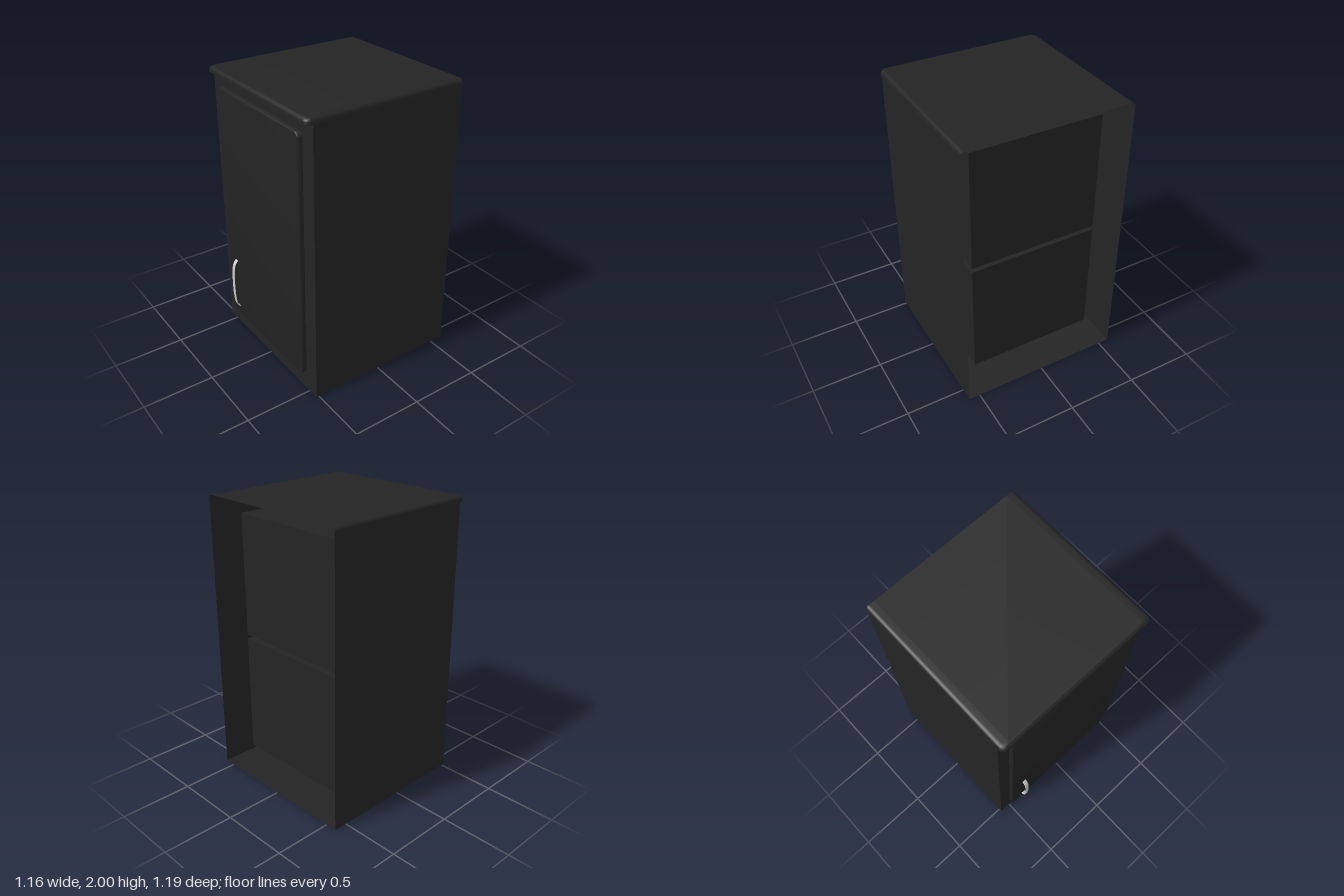
import * as THREE from 'three';
import { toCreasedNormals } from 'three/addons/utils/BufferGeometryUtils.js';

const W = 0.58, BACK = -0.595, FRONT = 0.52, LIP = 0.567, CAP_Y = 1.96;

const dark = new THREE.MeshStandardMaterial({ color: 0x242424, side: THREE.DoubleSide });
const metal = new THREE.MeshStandardMaterial({ color: 0xcccccc });

function add(group, name, geometry, material = dark) {
  const mesh = new THREE.Mesh(geometry, material);
  mesh.name = name;
  group.add(mesh);
  return mesh;
}

// Thin cabinet shell, open at the back and under the worktop
function shellGeometry() {
  const geo = new THREE.BoxGeometry(2 * W, CAP_Y, FRONT - BACK);
  const idx = Array.from(geo.index.array);
  geo.setIndex([...idx.slice(0, 12), ...idx.slice(18, 30)]);
  geo.clearGroups();
  return geo.translate(0, CAP_Y / 2, (FRONT + BACK) / 2);
}

// U-shaped worktop outline: back right, round the front, back left
function outline(inset) {
  const r = 0.035, w = W - inset, f = LIP - inset, n = 6;
  const pts = [[w, BACK]];
  for (const side of [1, -1]) {
    for (let i = 0; i <= n; i++) {
      const a = (side > 0 ? i : n - i) / n * Math.PI / 2;
      pts.push([side * (w - r + r * Math.cos(a)), f - r + r * Math.sin(a)]);
    }
  }
  pts.push([-w, BACK]);
  return pts;
}

// Worktop lofted from the lip underside, up the rounded edge, to the back line
function worktopGeometry() {
  const rings = [];
  const ring = (inset, y, rule = z => z) =>
    rings.push(outline(inset).map(([x, z]) => [x, y, rule(z)]));
  ring(0, CAP_Y, z => Math.min(z, FRONT));
  ring(0, CAP_Y);
  const r = 0.028;
  for (let i = 0; i <= 6; i++) {
    const a = i / 6 * Math.PI / 2;
    ring(r * (1 - Math.cos(a)), 2 - r + r * Math.sin(a));
  }
  ring(r, 2, () => BACK);

  const n = rings[0].length, index = [];
  for (let j = 0; j < rings.length - 1; j++) {
    for (let i = 0; i < n - 1; i++) {
      const a = j * n + i, b = a + n;
      index.push(a, b, a + 1, a + 1, b, b + 1);
    }
  }
  const geo = new THREE.BufferGeometry();
  geo.setAttribute('position', new THREE.Float32BufferAttribute(rings.flat(2), 3));
  geo.setIndex(index);
  // Wind the faces outwards
  for (let k = 0; k < index.length; k += 3) [index[k + 1], index[k + 2]] = [index[k + 2], index[k + 1]];
  geo.setIndex(index);
  return toCreasedNormals(geo, 0.6);
}

// Door leaf with rounded corners and a softened front edge
function doorGeometry() {
  const bevel = 0.01, r = 0.03;
  const x0 = -0.493 + bevel, x1 = 0.465 - bevel, y0 = 0.128 + bevel, y1 = 1.88 - bevel;
  const s = new THREE.Shape();
  s.moveTo(x0 + r, y0);
  s.lineTo(x1 - r, y0).absarc(x1 - r, y0 + r, r, -Math.PI / 2, 0);
  s.lineTo(x1, y1 - r).absarc(x1 - r, y1 - r, r, 0, Math.PI / 2);
  s.lineTo(x0 + r, y1).absarc(x0 + r, y1 - r, r, Math.PI / 2, Math.PI);
  s.lineTo(x0, y0 + r).absarc(x0 + r, y0 + r, r, Math.PI, Math.PI * 1.5);
  const geo = new THREE.ExtrudeGeometry(s, {
    depth: 0.03, bevelSize: bevel, bevelThickness: bevel, bevelSegments: 4, curveSegments: 6,
  });
  return toCreasedNormals(geo.translate(0, 0, 0.552 - 0.04), 0.6);
}

// Flat bowed pull, a thin tube stretched sideways into a band
function handleGeometry() {
  const path = new THREE.CatmullRomCurve3([
    [0.2, 0.545], [0.205, 0.557], [0.235, 0.576], [0.3, 0.586], [0.4, 0.589],
    [0.5, 0.586], [0.565, 0.576], [0.595, 0.557], [0.6, 0.545],
  ].map(([y, z]) => new THREE.Vector3(0, y, z)));
  return new THREE.TubeGeometry(path, 48, 0.004, 16).scale(4, 1, 1).translate(-0.38, 0, 0);
}

export function createModel() {
  const cabinet = new THREE.Group();
  cabinet.name = 'cabinet';

  add(cabinet, 'cabinetShell', shellGeometry());
  add(cabinet, 'worktop', worktopGeometry());
  add(cabinet, 'door', doorGeometry());
  add(cabinet, 'handle', handleGeometry(), metal);

  // Two inner compartments, one above the other, with the shelf gap between
  const depth = FRONT - 0.005 + 0.44;
  [['lowerCompartment', 0.13, 0.984], ['upperCompartment', 1.016, 1.875]].forEach(([name, y0, y1]) => {
    add(cabinet, name, new THREE.BoxGeometry(0.92, y1 - y0, depth))
      .position.set(-0.005, (y0 + y1) / 2, -0.44 + depth / 2);
  });

  return cabinet;
}
